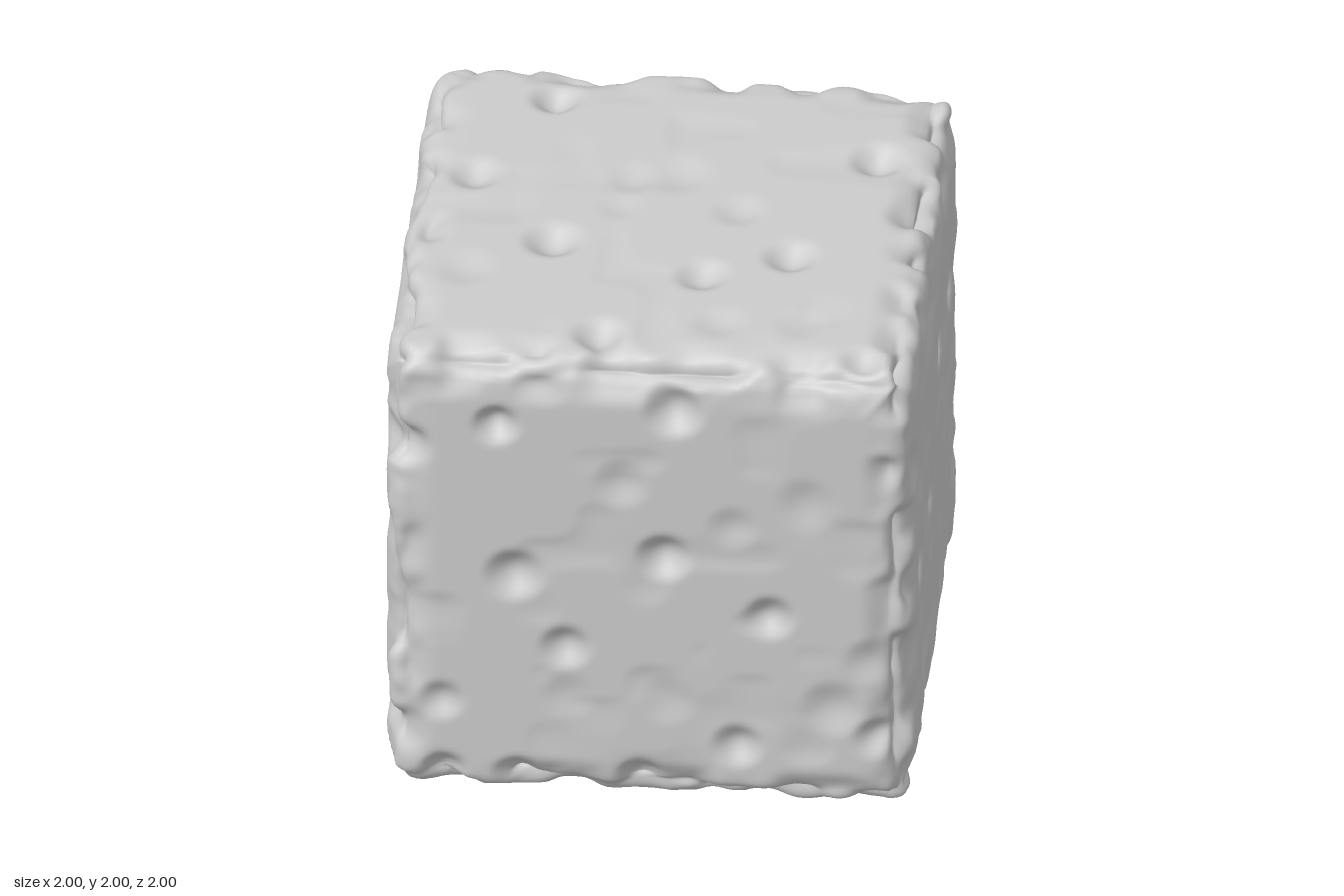
import * as THREE from 'three';
import { mergeVertices } from 'three/addons/utils/BufferGeometryUtils.js';

const SEGMENTS = 100, ROUND = 0.1;

// Dents per face: [u, v, radius, depth]; v is the height y on the upright faces.
const DENTS = {
  front: [[-0.57, 1.7, 0.1, 0.06], [0.1, 1.8, 0.13, 0.07], [-0.5, 1.02, 0.13, 0.06], [0.06, 1.13, 0.12, 0.06],
    [0.46, 0.88, 0.11, 0.05], [-0.31, 0.7, 0.11, 0.05], [0.34, 0.29, 0.11, 0.05], [-0.78, 0.43, 0.1, 0.04],
    [-0.9, 1.58, 0.1, 0.04], [-0.1, 1.46, 0.12, 0.025], [0.32, 1.28, 0.11, 0.02], [0.7, 0.48, 0.14, 0.03],
    [-0.3, 0.48, 0.12, 0.015], [0.08, 0.48, 0.12, 0.015], [0.85, 0.7, 0.12, 0.03], [0.6, 1.4, 0.14, 0.015],
    [-0.77, 0.1, 0.1, 0.06], [-0.5, 0.1, 0.1, 0.05], [-0.03, 0.12, 0.1, 0.04], [0.86, 0.35, 0.1, 0.04]],
  right: [[-0.18, 1.35, 0.11, 0.065], [-0.6, 1.33, 0.11, 0.07], [0.64, 0.92, 0.11, 0.055], [0.21, 0.92, 0.12, 0.055],
    [0.38, 0.18, 0.13, 0.05], [0.18, 1.75, 0.2, 0.03], [-0.73, 0.45, 0.12, 0.03], [0.46, 0.38, 0.12, 0.02],
    [0.82, 1.48, 0.13, 0.025], [0.62, 1.3, 0.11, 0.02], [-0.38, 1.02, 0.1, 0.012], [-0.47, 1.87, 0.13, 0.04],
    [-0.85, 0.66, 0.12, 0.025], [0.14, 0.35, 0.11, 0.012], [-0.38, 0.13, 0.1, 0.03], [0.83, 0.68, 0.13, 0.02]],
  top: [[-0.5, -0.74, 0.11, 0.065], [0.74, -0.45, 0.12, 0.06], [-0.43, 0.19, 0.13, 0.06], [0.47, 0.22, 0.12, 0.055],
    [0.15, 0.37, 0.12, 0.05], [-0.2, 0.79, 0.12, 0.06], [-0.76, -0.22, 0.12, 0.05], [0.0, -0.28, 0.15, 0.022],
    [-0.16, -0.24, 0.12, 0.02], [0.25, -0.06, 0.12, 0.022], [-0.2, -0.05, 0.1, 0.012], [0.9, -0.1, 0.12, 0.04],
    [0.24, 0.68, 0.12, 0.018], [0.55, 0.66, 0.12, 0.015], [-0.75, 0.4, 0.14, 0.02], [0.8, 0.88, 0.1, 0.05]],
  back: [[0.3, 1.02, 0.13, 0.06], [0.59, 0.73, 0.11, 0.05], [0.38, 0.66, 0.12, 0.06], [-0.37, 0.28, 0.12, 0.055],
    [-0.75, 0.22, 0.12, 0.05], [0.2, 0.13, 0.12, 0.05], [0.1, 1.6, 0.15, 0.025], [-0.3, 1.35, 0.13, 0.02],
    [-0.45, 1.0, 0.12, 0.015], [0.7, 1.3, 0.12, 0.02]],
  left: [[0.34, 0.86, 0.12, 0.06], [-0.78, 0.95, 0.11, 0.05], [-0.66, 0.7, 0.11, 0.05], [-0.1, 0.28, 0.11, 0.05],
    [0.86, 0.33, 0.11, 0.05], [0.86, 1.55, 0.12, 0.05], [-0.22, 1.5, 0.1, 0.025], [-0.78, 1.72, 0.1, 0.03],
    [0.35, 1.4, 0.13, 0.02], [-0.2, 0.9, 0.12, 0.015]],
  bottom: [[-0.08, 0.58, 0.13, 0.06], [-0.5, 0.22, 0.13, 0.06], [-0.85, 0.8, 0.12, 0.06], [0.26, 0.84, 0.12, 0.06],
    [-0.26, -0.74, 0.12, 0.04], [0.22, -0.4, 0.13, 0.03], [0.55, 0.2, 0.13, 0.03], [-0.65, -0.3, 0.12, 0.03]],
};

// Where a face's (u, v) lies on the cube, which is modelled around the origin.
const PLACE = {
  front: (u, v) => [u, v - 1, 1],
  back: (u, v) => [u, v - 1, -1],
  right: (u, v) => [1, v - 1, u],
  left: (u, v) => [-1, v - 1, u],
  top: (u, v) => [u, 1, v],
  bottom: (u, v) => [u, -1, v],
};

function hash(x, y, z) {
  let h = Math.imul(x, 374761393) ^ Math.imul(y, 668265263) ^ Math.imul(z, 1274126177);
  h = Math.imul(h ^ (h >>> 13), 1103515245);
  return ((h ^ (h >>> 16)) >>> 0) / 4294967296;
}

// Smooth value noise in 0..1
function noise(x, y, z) {
  const ix = Math.floor(x), iy = Math.floor(y), iz = Math.floor(z);
  const fade = (t) => t * t * (3 - 2 * t);
  const fx = fade(x - ix), fy = fade(y - iy), fz = fade(z - iz);
  let sum = 0;
  for (let i = 0; i < 8; i++) {
    const a = i & 1, b = (i >> 1) & 1, c = i >> 2;
    sum += hash(ix + a, iy + b, iz + c) * (a ? fx : 1 - fx) * (b ? fy : 1 - fy) * (c ? fz : 1 - fz);
  }
  return sum;
}

function createStoneGeometry() {
  const box = new THREE.BoxGeometry(2, 2, 2, SEGMENTS, SEGMENTS, SEGMENTS);
  box.deleteAttribute('normal');
  box.deleteAttribute('uv');
  const geometry = mergeVertices(box, 1e-4);
  const dents = Object.entries(DENTS).flatMap(([face, list]) =>
    list.map(([u, v, radius, depth]) => ({ at: new THREE.Vector3(...PLACE[face](u, v)), radius, depth })));

  const position = geometry.attributes.position;
  const p = new THREE.Vector3(), core = new THREE.Vector3(), normal = new THREE.Vector3();
  const inner = 1 - ROUND;
  for (let i = 0; i < position.count; i++) {
    p.fromBufferAttribute(position, i);
    const nearEdge = p.toArray().map(Math.abs).sort((a, b) => a - b)[1];

    // Round the edges and corners
    core.copy(p).clampScalar(-inner, inner);
    normal.subVectors(p, core).normalize();
    p.copy(core).addScaledVector(normal, ROUND);

    // Worn, chipped edges and faint unevenness on the faces
    const wear = THREE.MathUtils.smoothstep(nearEdge, 0.8, 0.98);
    const chip = THREE.MathUtils.smoothstep(noise(p.x * 7 + 40, p.y * 7 + 40, p.z * 7 + 40), 0.25, 0.85);
    const grit = noise(p.x * 14 + 90, p.y * 14 + 90, p.z * 14 + 90);
    const wave = Math.max(0, noise(p.x * 5 + 20, p.y * 7 + 20, p.z * 5 + 20) - 0.6);
    let depth = wear * (0.07 * chip + 0.02 * grit) + 0.03 * wave;

    // Bowl-shaped dents
    for (const dent of dents) {
      const t = p.distanceToSquared(dent.at) / (dent.radius * dent.radius);
      if (t < 1) depth += dent.depth * (1 - t) ** 2;
    }
    p.addScaledVector(normal, -depth);
    position.setXYZ(i, p.x, p.y + 1, p.z);
  }
  geometry.computeVertexNormals();
  return geometry;
}

export function createModel() {
  const group = new THREE.Group();
  group.name = 'stoneCube';
  const stone = new THREE.Mesh(createStoneGeometry(), new THREE.MeshStandardMaterial({ color: 0xcccccc }));
  stone.name = 'stoneBlock';
  group.add(stone);
  return group;
}
